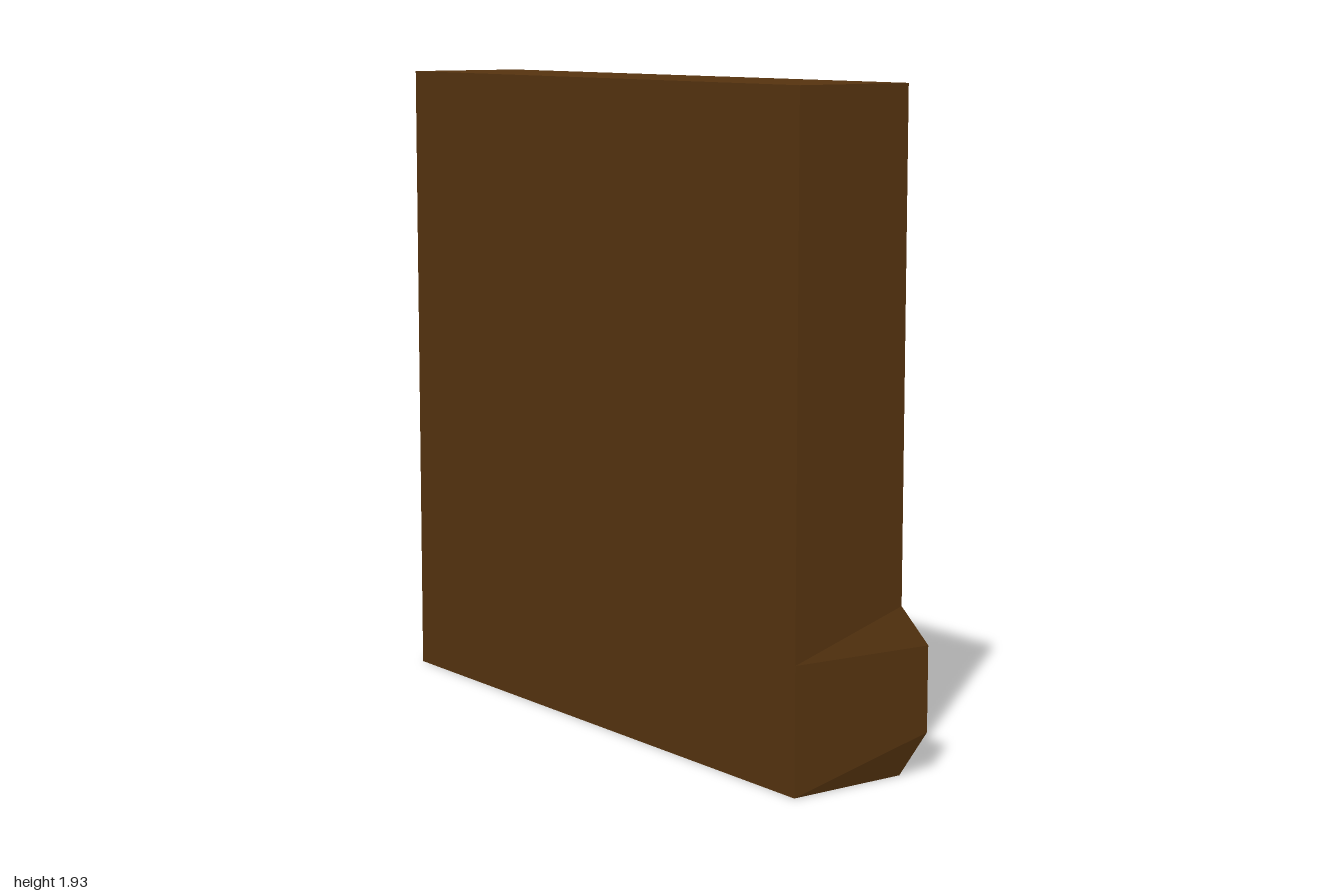
import * as THREE from 'three';

const HALF = 0.965;      // half width of the case
const OPEN = -0.155;     // z of the open side
const INNER = -0.03;     // z of the recessed panel behind the books
const FAR = 0.225;       // z of the closed side

const mat = (color) => new THREE.MeshStandardMaterial({ color, flatShading: true });
const wood = mat(0x55330f);
const panelMat = mat(0x30271f);
const trim = mat(0x0c0c0c);
const bookMats = {
  G: mat(0x127512), R: mat(0x920d1a), Y: mat(0x7a7412), K: mat(0x0c0c0c), B: mat(0x1b0d8c),
};

// Box given by its minimum and maximum corners
function box(name, material, x0, x1, y0, y1, z0, z1) {
  const mesh = new THREE.Mesh(new THREE.BoxGeometry(x1 - x0, y1 - y0, z1 - z0), material);
  mesh.position.set((x0 + x1) / 2, (y0 + y1) / 2, (z0 + z1) / 2);
  mesh.name = name;
  return mesh;
}

// Flared plinth: four-cornered rings stacked upward, widening toward the open side
function plinthGeometry() {
  const rings = [[0, HALF, OPEN], [0.12, 1, -0.225], [0.37, 1, -0.225], [0.485, HALF, OPEN]];
  const pos = [];
  const idx = [];
  for (const [y, x, z] of rings) pos.push(-HALF, y, FAR, HALF, y, FAR, x, y, z, -x, y, z);
  for (let r = 0; r < 3; r++) {
    for (let i = 0; i < 4; i++) {
      // the face behind the drawer trim is left open
      if (r === 1 && i === 2) continue;
      const a = r * 4 + i, b = r * 4 + (i + 1) % 4;
      idx.push(a, b, b + 4, a, b + 4, a + 4);
    }
  }
  idx.push(0, 2, 1, 0, 3, 2, 12, 13, 14, 12, 14, 15);
  const geo = new THREE.BufferGeometry();
  geo.setAttribute('position', new THREE.Float32BufferAttribute(pos, 3));
  geo.setIndex(idx);
  const flat = geo.toNonIndexed();
  flat.computeVertexNormals();
  return flat;
}

// Rectangular frame with a hole, for the drawer border
function frameGeometry(w, y0, y1, border, depth) {
  const s = new THREE.Shape();
  s.moveTo(-w, y0).lineTo(w, y0).lineTo(w, y1).lineTo(-w, y1).closePath();
  const h = new THREE.Path();
  const x = w - border, a = y0 + border, b = y1 - border;
  h.moveTo(-x, a).lineTo(-x, b).lineTo(x, b).lineTo(x, a).closePath();
  s.holes.push(h);
  return new THREE.ExtrudeGeometry(s, { depth, bevelEnabled: false });
}

export function createModel() {
  const model = new THREE.Group();
  model.name = 'bookcase';

  // Carcass
  model.add(box('rearBlock', wood, -HALF, HALF, 0.485, 1.93, INNER, FAR));
  model.add(box('innerPanel', panelMat, -HALF + 0.004, HALF - 0.004, 0.485, 1.8, INNER - 0.002, INNER));
  for (const s of [-1, 1]) {
    const x = s * (HALF - 0.002);
    model.add(box('sidePanel', wood, x - 0.002, x + 0.002, 0.485, 1.93, OPEN, INNER));
  }
  for (const [name, y0, y1] of [['topBoard', 1.8, 1.93], ['upperShelf', 1.335, 1.46], ['lowerShelf', 0.846, 0.97]]) {
    model.add(box(name, wood, -HALF + 0.002, HALF - 0.002, y0, y1, OPEN, INNER));
  }

  // Plinth with drawer
  const plinth = new THREE.Mesh(plinthGeometry(), wood);
  plinth.name = 'plinth';
  const frame = new THREE.Mesh(frameGeometry(0.999, 0.12, 0.37, 0.033, 0.012), trim);
  frame.position.z = -0.225;
  frame.name = 'drawerTrim';
  model.add(plinth, frame, box('drawerFront', wood, -0.97, 0.97, 0.15, 0.34, -0.219, -0.2));

  // Rows of books: starting x, shelf height, colours running toward -x
  const bookW = 0.081, bookH = 0.345, bookD = 0.09;
  const books = new THREE.Group();
  books.name = 'books';
  const rows = [
    [0.903, 1.46, 'GRYKY'], [-0.694, 1.46, 'BYG'],
    [0.903, 0.97, 'YBKBRKYRYGYR'], [-0.205, 0.97, 'YBKYGY'],
    [0.942, 0.485, 'GK'], [0.097, 0.485, 'YKGYRB'],
  ];
  for (const [start, y, colours] of rows) {
    [...colours].forEach((c, i) => {
      const x = start - i * bookW;
      books.add(box('book', bookMats[c], x - bookW + 0.001, x, y, y + bookH, OPEN, OPEN + bookD));
    });
  }

  // Book leaning against the top row
  const leaning = new THREE.Mesh(new THREE.BoxGeometry(bookW, 0.35, bookD), bookMats.Y);
  leaning.position.set(0.335, 1.613, OPEN + bookD / 2);
  leaning.rotation.z = -Math.PI / 4;
  leaning.name = 'leaningBook';
  books.add(leaning);
  model.add(books);

  return model;
}
